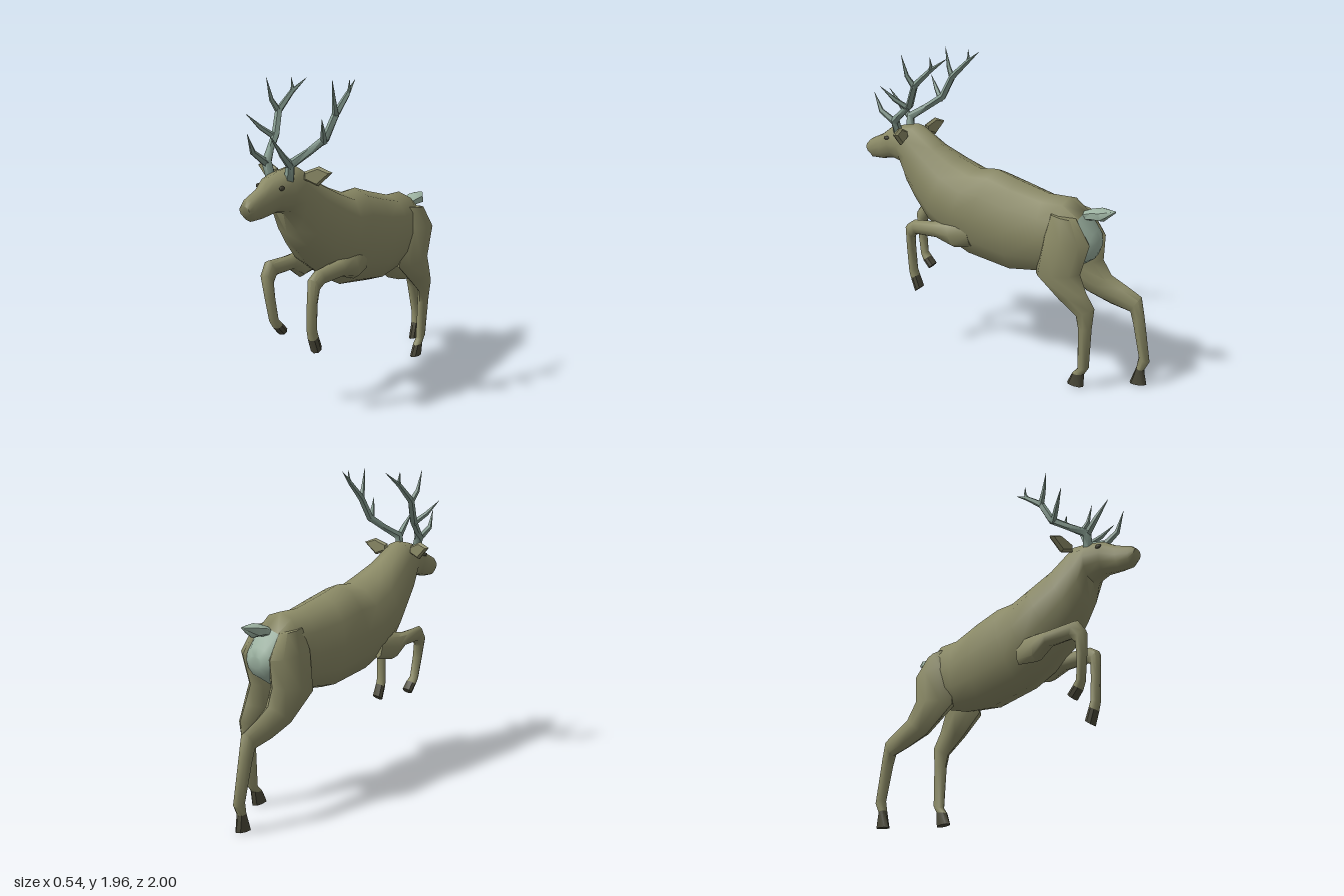
import * as THREE from 'three';
import { toCreasedNormals } from 'three/addons/utils/BufferGeometryUtils.js';

const mat = (color) => new THREE.MeshStandardMaterial({ color });
const hide = mat(0x8b8a66), pale = mat(0x9db3a2), horn = mat(0x80968a), dark = mat(0x4b4939);

// Skin between closed rings of points, with capped ends
function skin(rings, crease = 1.0) {
  const n = rings[0].length, last = rings.length - 1, pos = [], idx = [];
  rings.forEach((r) => r.forEach((p) => pos.push(p.x, p.y, p.z)));
  for (let i = 0; i < last; i++) {
    for (let j = 0; j < n; j++) {
      const a = i * n + j, b = i * n + (j + 1) % n;
      idx.push(a, b, a + n, b, b + n, a + n);
    }
  }
  for (let j = 1; j < n - 1; j++) {
    idx.push(0, j + 1, j, last * n, last * n + j, last * n + j + 1);
  }
  const g = new THREE.BufferGeometry();
  g.setAttribute('position', new THREE.Float32BufferAttribute(pos, 3));
  g.setIndex(idx);
  return toCreasedNormals(g, crease);
}

// Oval rings, each [z1, y1, z2, y2, half width, centre x] across the side profile
function loft(rows, n, crease) {
  return skin(rows.map(([z1, y1, z2, y2, w, x = 0]) => Array.from({ length: n }, (_, j) => {
    const t = (j / n) * Math.PI * 2, c = Math.cos(t) / 2, s = Math.sin(t);
    const sx = Math.sign(s) * Math.pow(Math.abs(s), 0.85);
    return new THREE.Vector3(x + w * sx, (y1 + y2) / 2 + c * (y1 - y2), (z1 + z2) / 2 + c * (z1 - z2));
  })), crease);
}

// Tapered tube through points [x, y, z, radius]
function spike(points, n = 5) {
  const p = points.map((q) => new THREE.Vector3(q[0], q[1], q[2]));
  return skin(p.map((c, i) => {
    const d = p[Math.min(i + 1, p.length - 1)].clone().sub(p[Math.max(i - 1, 0)]).normalize();
    const u = new THREE.Vector3(1, 0, 0).addScaledVector(d, -d.x).normalize();
    const v = d.clone().cross(u);
    return Array.from({ length: n }, (_, j) => {
      const t = (j / n) * Math.PI * 2, r = points[i][3];
      return c.clone().addScaledVector(u, r * Math.cos(t)).addScaledVector(v, r * Math.sin(t));
    });
  }), 1.2);
}

export function createModel() {
  const model = new THREE.Group();
  model.name = 'leapingStag';
  const add = (name, geo, material, parent = model) => {
    const m = new THREE.Mesh(geo, material);
    m.name = name;
    parent.add(m);
    return m;
  };

  // Head, neck and trunk in one skin from nose to hips
  const trunk = [
    [1.0, 1.33, 0.985, 1.265, 0.035], [0.97, 1.36, 0.95, 1.235, 0.05],
    [0.87, 1.405, 0.88, 1.235, 0.055], [0.8, 1.455, 0.77, 1.255, 0.085],
    [0.7, 1.48, 0.68, 1.235, 0.112], [0.59, 1.5, 0.65, 1.11, 0.125],
    [0.42, 1.39, 0.58, 1.01, 0.15], [0.27, 1.32, 0.47, 0.89, 0.19],
    [0.13, 1.27, 0.3, 0.77, 0.2], [0, 1.28, 0.16, 0.7, 0.19],
    [-0.15, 1.235, -0.15, 0.655, 0.2], [-0.36, 1.18, -0.34, 0.68, 0.168],
    [-0.5, 1.18, -0.46, 0.72, 0.17], [-0.6, 1.1, -0.58, 0.76, 0.15],
    [-0.68, 1.0, -0.67, 0.82, 0.1],
  ];
  add('body', loft(trunk.slice(0, -1), 12, 1.1), hide);
  add('rumpPatch', loft([...trunk.slice(-2), [-0.7, 0.95, -0.7, 0.88, 0.05]], 12, 1.1), pale);

  // Tail
  add('tail', loft([
    [-0.58, 1.1, -0.61, 1.05, 0.03], [-0.65, 1.13, -0.66, 1.06, 0.055],
    [-0.71, 1.145, -0.72, 1.06, 0.065], [-0.795, 1.135, -0.795, 1.125, 0.005],
  ], 6), pale);

  // Legs: rows run from the body to the hoof, back edge first
  const leg = (name, rows, hoof) => {
    const g = new THREE.Group();
    g.name = name;
    model.add(g);
    add(name + 'Limb', loft(rows, 8), hide, g);
    add(name + 'Hoof', loft([rows[rows.length - 1], ...hoof], 8, 0.7), dark, g);
  };
  leg('leftHindLeg', [
    [-0.6, 1.08, -0.43, 1.1, 0.05, 0.11], [-0.69, 0.94, -0.385, 0.97, 0.085, 0.115],
    [-0.635, 0.75, -0.34, 0.71, 0.08, 0.115], [-0.68, 0.64, -0.49, 0.58, 0.058, 0.115],
    [-0.73, 0.55, -0.61, 0.48, 0.04, 0.105], [-0.715, 0.42, -0.625, 0.4, 0.033, 0.1],
    [-0.7, 0.15, -0.625, 0.13, 0.028, 0.09], [-0.67, 0.1, -0.59, 0.09, 0.027, 0.088],
  ], [[-0.665, 0.01, -0.555, 0.015, 0.028, 0.085]]);
  leg('rightHindLeg', [
    [-0.6, 1.08, -0.43, 1.1, 0.05, -0.1], [-0.69, 0.94, -0.385, 0.97, 0.085, -0.11],
    [-0.68, 0.78, -0.36, 0.71, 0.08, -0.115], [-0.73, 0.685, -0.57, 0.55, 0.06, -0.13],
    [-0.82, 0.635, -0.73, 0.495, 0.046, -0.14], [-0.925, 0.58, -0.86, 0.47, 0.04, -0.14],
    [-0.95, 0.46, -0.88, 0.4, 0.035, -0.14], [-1.0, 0.17, -0.93, 0.19, 0.03, -0.135],
    [-0.97, 0.11, -0.92, 0.12, 0.028, -0.13],
  ], [[-0.99, 0.015, -0.88, 0.005, 0.028, -0.13]]);
  leg('leftForeleg', [
    [0.1, 0.8, 0.13, 0.95, 0.03, 0.145], [0.22, 0.775, 0.26, 0.945, 0.055, 0.15],
    [0.34, 0.815, 0.37, 0.92, 0.05, 0.145], [0.52, 0.805, 0.54, 0.9, 0.04, 0.135],
    [0.55, 0.78, 0.605, 0.855, 0.038, 0.13], [0.555, 0.7, 0.61, 0.7, 0.032, 0.12],
    [0.55, 0.55, 0.605, 0.53, 0.03, 0.112], [0.54, 0.51, 0.59, 0.48, 0.034, 0.11],
  ], [[0.51, 0.435, 0.56, 0.395, 0.036, 0.11]]);
  leg('rightForeleg', [
    [0.22, 0.79, 0.24, 0.95, 0.03, -0.145], [0.36, 0.765, 0.38, 0.94, 0.055, -0.15],
    [0.45, 0.835, 0.47, 0.925, 0.05, -0.15], [0.61, 0.835, 0.66, 0.935, 0.04, -0.14],
    [0.64, 0.8, 0.71, 0.86, 0.038, -0.135], [0.64, 0.72, 0.695, 0.72, 0.032, -0.125],
    [0.625, 0.585, 0.67, 0.57, 0.03, -0.115], [0.6, 0.56, 0.645, 0.525, 0.034, -0.11],
  ], [[0.56, 0.515, 0.6, 0.475, 0.036, -0.11]]);

  // Paired head parts
  for (const s of [1, -1]) {
    const side = s > 0 ? 'left' : 'right';
    const flip = (pts) => pts.map(([x, y, z, r]) => [s * x, y, z, r]);

    // Leaf-shaped ear, flattened front to back
    const ear = new THREE.Shape();
    ear.moveTo(0, -0.02);
    ear.lineTo(0.085, -0.05);
    ear.lineTo(0.17, 0.03);
    ear.lineTo(0.09, 0.06);
    ear.lineTo(0, 0.025);
    const earMesh = add(side + 'Ear', new THREE.ExtrudeGeometry(ear, {
      depth: 0.006, bevelEnabled: true, bevelThickness: 0.014, bevelSize: 0.012, bevelOffset: -0.012, bevelSegments: 1,
    }), hide);
    earMesh.position.set(s * 0.1, 1.445, 0.61);
    earMesh.rotation.y = s > 0 ? 0.2 : Math.PI - 0.2;

    // Eye
    const eye = add(side + 'Eye', new THREE.SphereGeometry(0.016, 8, 6), dark);
    eye.position.set(s * 0.084, 1.4, 0.785);
    eye.scale.set(0.6, 0.8, 1.3);

    // Antler: curved beam with four tines
    const antler = new THREE.Group();
    antler.name = side + 'Antler';
    model.add(antler);
    add('beam', spike(flip([
      [0.065, 1.43, 0.7, 0.03], [0.085, 1.52, 0.71, 0.03], [0.135, 1.58, 0.62, 0.022],
      [0.18, 1.65, 0.52, 0.024], [0.205, 1.78, 0.46, 0.022], [0.2, 1.88, 0.345, 0.015],
      [0.175, 1.955, 0.24, 0.001],
    ])), horn, antler);
    const tines = [
      [[0.085, 1.51, 0.71, 0.024], [0.105, 1.58, 0.8, 0.017], [0.08, 1.69, 0.87, 0.001]],
      [[0.175, 1.63, 0.53, 0.02], [0.225, 1.69, 0.6, 0.015], [0.27, 1.77, 0.67, 0.001]],
      [[0.205, 1.77, 0.46, 0.02], [0.225, 1.84, 0.5, 0.014], [0.235, 1.965, 0.53, 0.001]],
      [[0.2, 1.87, 0.35, 0.013], [0.205, 1.91, 0.335, 0.009], [0.21, 1.96, 0.34, 0.001]],
    ];
    tines.forEach((t, i) => add('tine' + (i + 1), spike(flip(t)), horn, antler));
  }
  return model;
}
